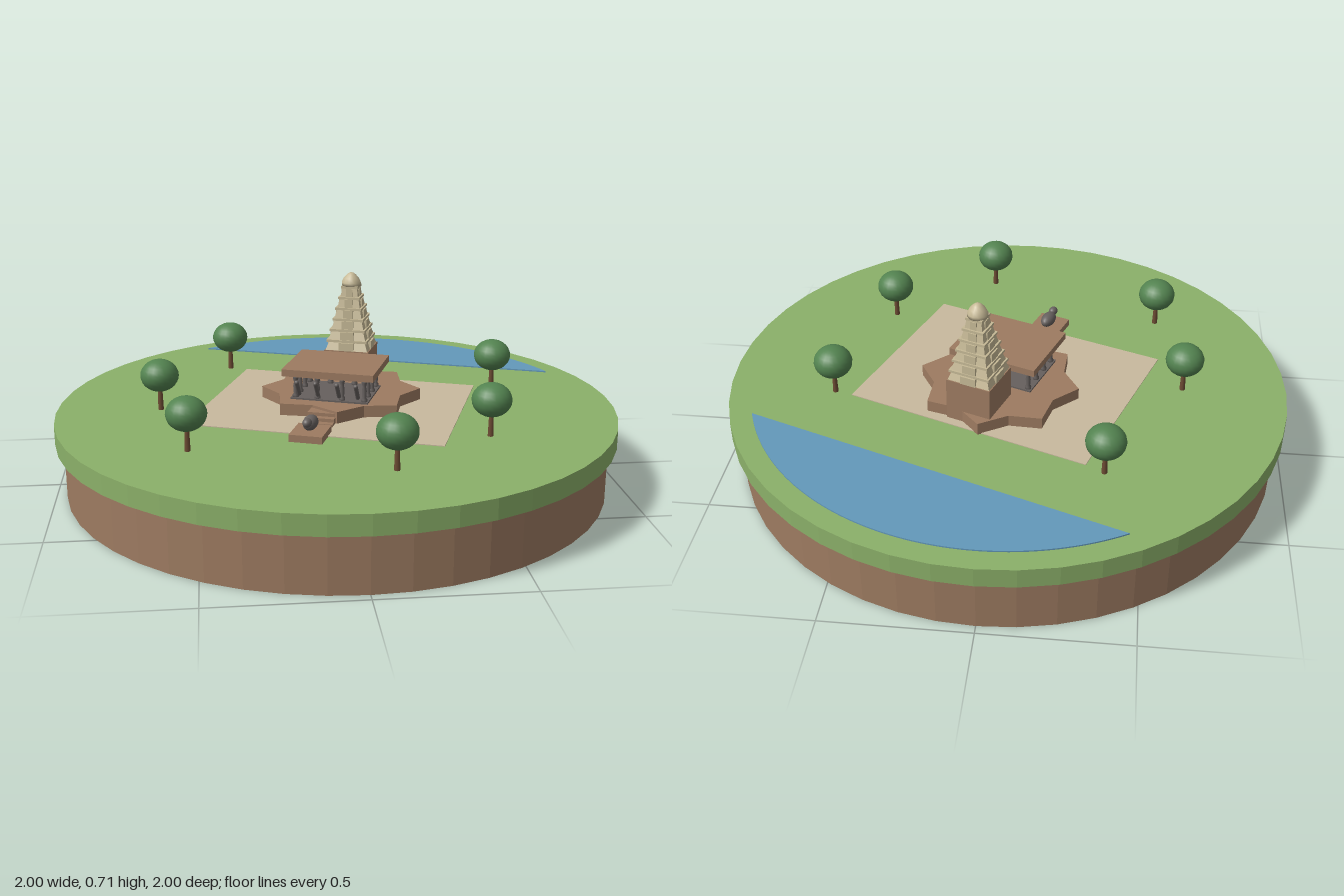
import * as THREE from 'three';

const mat = (name, color, extra = {}) => {
  const m = new THREE.MeshStandardMaterial({ color, ...extra });
  m.name = name;
  return m;
};

export function createModel() {
  const root = new THREE.Group();
  root.name = 'islandTemple';

  const grass = mat('grass green', 0x8bb069, { flatShading: true });
  const earth = mat('brown earth', 0x9d7b61, { flatShading: true });
  const brown = mat('brown stone', 0x9d7b61);
  const paving = mat('pale paving', 0xc8b99e);
  const water = mat('water blue', 0x6399ba);
  const leaf = mat('leaf green', 0x538350);
  const bark = mat('bark brown', 0x6e4c34);
  const grey = mat('dark grey stone', 0x66605e);
  const sand = mat('sandstone', 0xc6b996);

  const add = (parent, name, geo, material, x = 0, y = 0, z = 0) => {
    const m = new THREE.Mesh(geo, material);
    m.name = name;
    m.position.set(x, y, z);
    parent.add(m);
    return m;
  };
  // box standing on height y
  const box = (parent, name, material, w, h, d, x, y, z) =>
    add(parent, name, new THREE.BoxGeometry(w, h, d), material, x, y + h / 2, z);
  // flat shape raised from height y
  const slab = (parent, name, material, shape, h, y, z = 0) => {
    const geo = new THREE.ExtrudeGeometry(shape, { depth: h, bevelEnabled: false, curveSegments: 40 });
    geo.rotateX(-Math.PI / 2);
    return add(parent, name, geo, material, 0, y, z);
  };

  // Round island
  const GROUND = 0.27;
  add(root, 'earthBase', new THREE.CylinderGeometry(0.97, 0.97, 0.2, 48), earth, 0, 0.1, 0);
  add(root, 'grassTop', new THREE.CylinderGeometry(1, 1, 0.07, 48), grass, 0, 0.235, 0);

  // Everything built is turned on the island
  const site = new THREE.Group();
  site.name = 'templeSite';
  site.rotation.y = -THREE.MathUtils.degToRad(20);
  root.add(site);

  // Courtyard and pond
  box(site, 'courtyard', paving, 0.905, 0.003, 0.69, 0, GROUND, 0);
  const pond = new THREE.Shape();
  const a = Math.asin(0.595 / 0.922);
  pond.absarc(0, 0, 0.922, a, Math.PI - a, false);
  pond.closePath();
  slab(site, 'pond', water, pond, 0.005, GROUND);

  // Star-shaped platform
  const star = new THREE.Shape();
  for (let i = 0; i < 16; i++) {
    const r = i % 2 ? 0.235 : 0.29;
    const t = Math.PI / 16 + (i * Math.PI) / 8;
    const p = [r * Math.cos(t), r * Math.sin(t)];
    i ? star.lineTo(...p) : star.moveTo(...p);
  }
  star.closePath();
  const FLOOR = 0.315;
  slab(site, 'starPlatform', brown, star, FLOOR - GROUND, GROUND, -0.07);

  // Entrance steps
  for (let i = 0; i < 3; i++) {
    box(site, 'step', brown, 0.1, 0.036 - i * 0.012, 0.09 - 0.0, 0, GROUND, 0.165 + i * 0.023);
  }

  // Pillared hall
  const hall = new THREE.Group();
  hall.name = 'hall';
  site.add(hall);
  box(hall, 'hallFloor', grey, 0.28, 0.006, 0.22, 0, FLOOR, 0);
  box(hall, 'roof', brown, 0.33, 0.025, 0.272, 0, 0.405, 0);
  const pillarGeo = new THREE.LatheGeometry(
    [[0, 0], [0.011, 0], [0.011, 0.014], [0.007, 0.02], [0.009, 0.045], [0.006, 0.06], [0.01, 0.075], [0.011, 0.09], [0, 0.09]]
      .map(([r, y]) => new THREE.Vector2(r, y)), 10);
  for (const x of [-0.125, -0.045, 0.045, 0.125]) {
    for (const z of [-0.095, -0.03, 0.035, 0.095]) {
      if (Math.abs(x) < 0.1 && Math.abs(z) < 0.05) continue;
      add(hall, 'pillar', pillarGeo, grey, x, FLOOR, z);
    }
    // leaning bracket figures under the front eave
    const lean = add(hall, 'bracketFigure', new THREE.CapsuleGeometry(0.008, 0.06, 4, 8), grey, x * 0.85, 0.365, 0.132);
    lean.rotation.x = 0.6;
  }

  // Shrine and stepped tower
  const tower = new THREE.Group();
  tower.name = 'tower';
  tower.position.z = -0.23;
  site.add(tower);
  box(tower, 'shrine', brown, 0.166, 0.16, 0.166, 0, GROUND, 0);
  const tiers = 6, rise = 0.039;
  for (let i = 0; i < tiers; i++) {
    const w = 0.158 - i * 0.0185, y = 0.43 + i * rise;
    const body = new THREE.CylinderGeometry((w * 0.86) / Math.SQRT2, w / Math.SQRT2, rise - 0.009, 4);
    body.rotateY(Math.PI / 4);
    add(tower, 'towerTier', body.toNonIndexed(), sand, 0, y + (rise - 0.009) / 2, 0).geometry.computeVertexNormals();
    box(tower, 'towerCornice', sand, w * 0.96, 0.009, w * 0.96, 0, y + rise - 0.009, 0);
    // projecting ribs on the four faces
    box(tower, 'towerRib', sand, w * 0.36, rise - 0.009, w * 1.05, 0, y, 0);
    box(tower, 'towerRib', sand, w * 1.05, rise - 0.009, w * 0.36, 0, y, 0);
  }
  const cap = [[0, 0], [0.036, 0], [0.036, 0.012], [0.028, 0.028], [0.016, 0.041], [0.008, 0.047], [0, 0.048]];
  add(tower, 'towerCap', new THREE.LatheGeometry(cap.map(([r, y]) => new THREE.Vector2(r, y)), 12), sand, 0, 0.663, 0);

  // Reclining bull on its plinth
  const bull = new THREE.Group();
  bull.name = 'bullStatue';
  bull.position.set(0, GROUND, 0.36);
  site.add(bull);
  box(bull, 'plinth', brown, 0.115, 0.025, 0.125, 0, 0, 0);
  const ball = new THREE.SphereGeometry(1, 20, 14);
  add(bull, 'bullBody', ball, grey, 0, 0.05, -0.005).scale.set(0.025, 0.025, 0.043);
  add(bull, 'bullHead', ball, grey, 0, 0.063, 0.038).scale.set(0.016, 0.016, 0.02);

  // Trees
  const spots = [[-0.37, -0.51], [0.605, -0.15], [-0.63, -0.01], [-0.53, 0.43], [0.48, 0.39], [0.12, 0.67]];
  for (const [x, z] of spots) {
    const tree = new THREE.Group();
    tree.name = 'tree';
    tree.position.set(x, GROUND, z);
    root.add(tree);
    add(tree, 'trunk', new THREE.CylinderGeometry(0.007, 0.01, 0.1, 8), bark, 0, 0.05, 0);
    add(tree, 'crown', ball, leaf, 0, 0.128, 0).scale.set(0.068, 0.058, 0.068);
  }
  return root;
}
